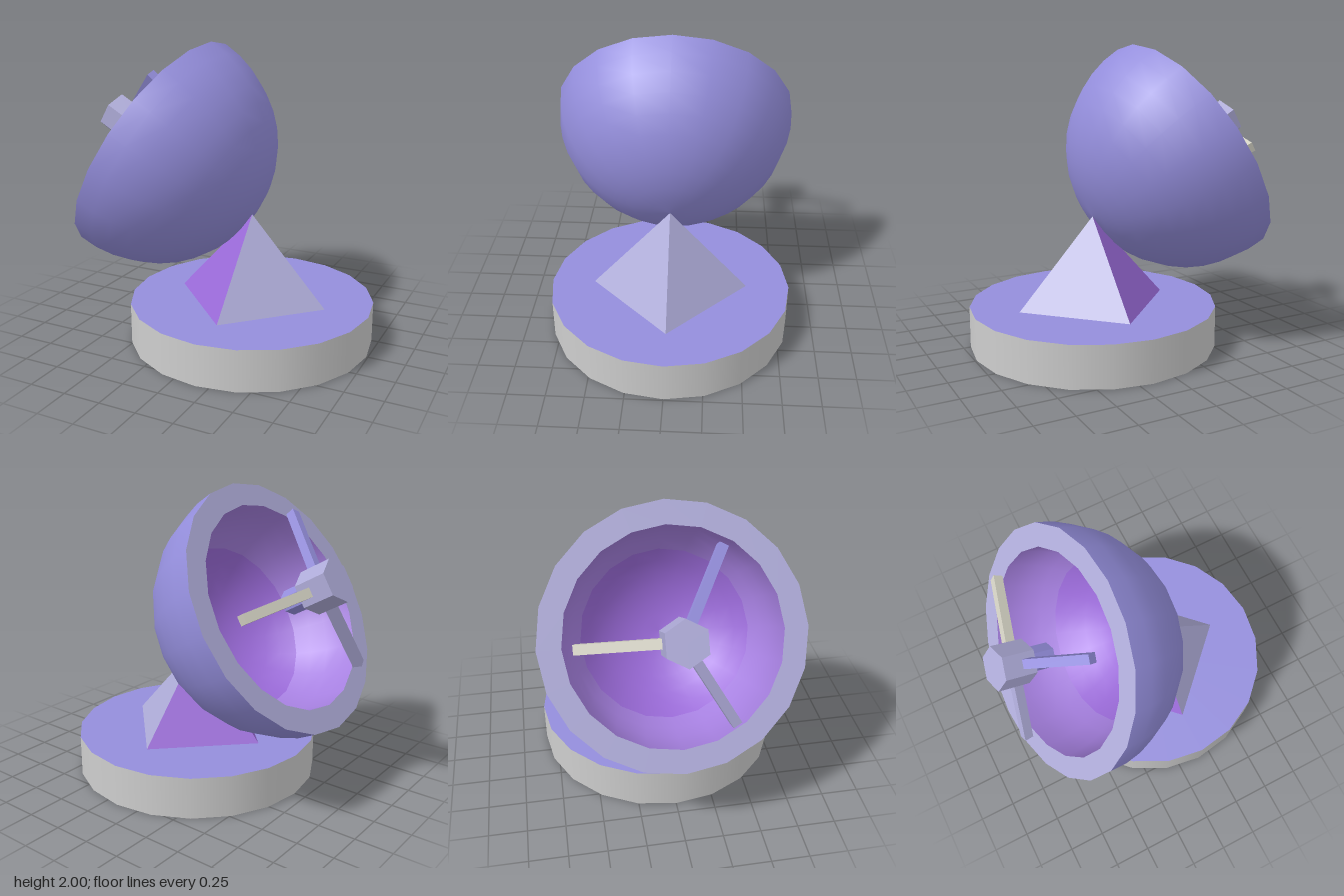
import * as THREE from 'three';

export function createModel() {
  const model = new THREE.Group();
  model.name = 'dishAntenna';

  const paint = (name, color) => {
    const m = new THREE.MeshStandardMaterial({ color, side: THREE.DoubleSide });
    m.name = name;
    return m;
  };
  const violet = paint('violet', 0x948edc);
  const lavender = paint('lavenderGrey', 0xaeabd8);
  const grey = paint('lightGrey', 0xcecece);
  const cream = paint('warmGrey', 0xd2d0c2);
  const bowlPurple = paint('bowlPurple', 0xa680e0);
  const deepPurple = paint('deepPurple', 0x9a6ad8);

  const add = (parent, name, geometry, material, x = 0, y = 0, z = 0) => {
    const mesh = new THREE.Mesh(geometry, material);
    mesh.name = name;
    mesh.position.set(x, y, z);
    parent.add(mesh);
    return mesh;
  };
  const faceted = (geometry) => {
    const g = geometry.toNonIndexed();
    g.computeVertexNormals();
    return g;
  };

  // Round base, open underneath
  const R = 0.83, SIDES = 20, baseX = 0.16, baseH = 0.278;
  add(model, 'baseWall', new THREE.CylinderGeometry(R, R, baseH, SIDES, 1, true), grey, baseX, baseH / 2);
  add(model, 'baseTop', new THREE.CircleGeometry(R, SIDES).rotateX(-Math.PI / 2), violet, baseX, baseH);

  // Four-sided pedestal, set corner-on and sunk a little into the base
  const pedBottom = 0.225, pedTop = 0.867, pedH = pedTop - pedBottom;
  [['pedestalRear', lavender, 0], ['pedestalFront', deepPurple, Math.PI]].forEach(([name, mat, start]) => {
    const g = faceted(new THREE.ConeGeometry(0.58, pedH, 2, 1, true, start, Math.PI));
    add(model, name, g, mat, baseX, pedBottom + pedH / 2);
  });

  // Dish: local +y is the direction it points
  const dish = new THREE.Group();
  dish.name = 'dish';
  dish.position.set(-0.558, 1.282, 0);
  dish.rotation.z = Math.PI / 3;
  model.add(dish);

  // Arc on a sphere, angles in degrees measured from the back pole
  const arc = (radius, from, to) => {
    const n = Math.abs(to - from) / 9, pts = [];
    for (let i = 0; i <= n; i++) {
      const a = THREE.MathUtils.degToRad(from + ((to - from) * i) / n);
      pts.push(new THREE.Vector2(Math.max(0, radius * Math.sin(a)), -radius * Math.cos(a)));
    }
    return pts;
  };
  const lathe = (pts) => new THREE.LatheGeometry(pts, SIDES);
  const r = 0.68;
  add(dish, 'dishShell', lathe(arc(R, 0, 90)), violet);
  add(dish, 'dishRim', lathe([new THREE.Vector2(R, 0), new THREE.Vector2(r, 0)]), lavender);
  add(dish, 'dishBowl', lathe(arc(r, 90, 54)), bowlPurple);
  add(dish, 'dishBowlCentre', lathe(arc(r, 54, 0)), deepPurple);

  // Hexagonal receiver and its stub, with corners along local x
  const hex = (radius, h) => faceted(new THREE.CylinderGeometry(radius, radius, h, 6).rotateY(Math.PI / 2));
  add(dish, 'receiver', hex(0.14, 0.22), lavender, 0, 0.308, 0);
  add(dish, 'receiverStub', hex(0.08, 0.18), violet, 0, 0.118, 0);

  // Three struts spread evenly around the receiver
  const inner = new THREE.Vector2(0.06, 0.275), outer = new THREE.Vector2(0.61, 0.12);
  const span = outer.clone().sub(inner), mid = inner.clone().add(outer).multiplyScalar(0.5);
  [['upperStrut', violet, -30], ['sideStrut', cream, 90], ['lowerStrut', lavender, 210]].forEach(([name, mat, deg]) => {
    const arm = new THREE.Group();
    arm.name = name + 'Arm';
    arm.rotation.y = THREE.MathUtils.degToRad(deg);
    const strut = add(arm, name, new THREE.BoxGeometry(span.length(), 0.06, 0.06), mat, mid.x, mid.y, 0);
    strut.rotation.z = span.angle();
    dish.add(arm);
  });

  return model;
}
